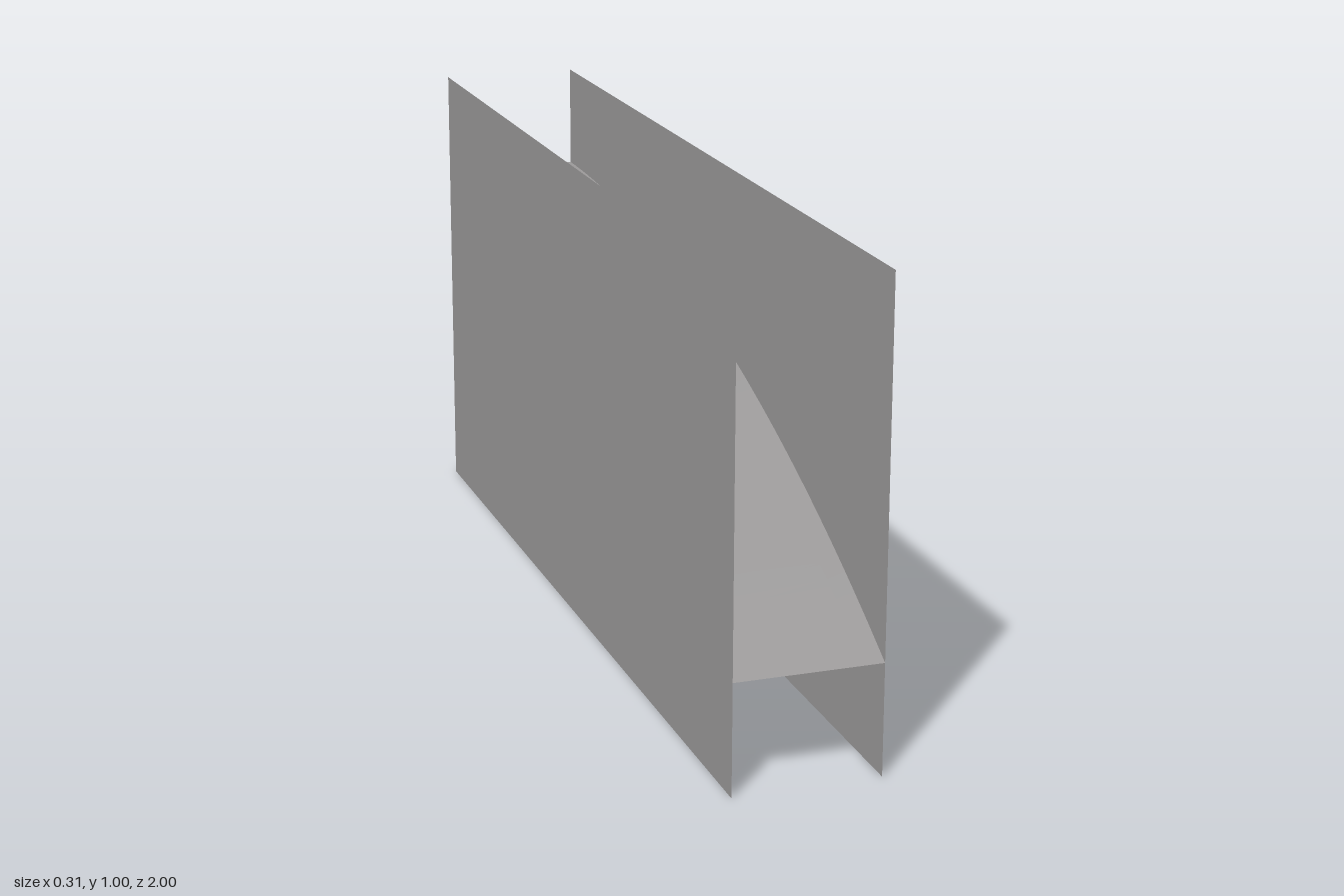
import * as THREE from 'three';

const HALF_WIDTH = 0.153, LANE = 0.11, RADIUS = 4, CREST = 0.77;

// Strip of the ramp between two x positions, bent along a 30 degree arc
function rampStrip(x0, x1, material, name) {
  const geometry = new THREE.PlaneGeometry(x1 - x0, 2, 1, 48);
  geometry.rotateX(-Math.PI / 2);
  geometry.translate((x0 + x1) / 2, 0, 0);
  const p = geometry.attributes.position;
  for (let i = 0; i < p.count; i++) {
    const angle = (p.getZ(i) + 1) / 2 * Math.PI / 6;
    p.setY(i, CREST - RADIUS * (1 - Math.cos(angle)));
    p.setZ(i, RADIUS * Math.sin(angle) - 1);
  }
  geometry.computeVertexNormals();
  const mesh = new THREE.Mesh(geometry, material);
  mesh.name = name;
  return mesh;
}

export function createModel() {
  const group = new THREE.Group();
  group.name = 'curvedRamp';
  const grey = new THREE.MeshStandardMaterial({ color: 0x9c9a9a, side: THREE.DoubleSide });
  grey.name = 'warm grey';

  // Curved surface: middle lane and two edge strips
  group.add(rampStrip(-LANE, LANE, grey, 'rampLane'));
  group.add(rampStrip(-HALF_WIDTH, -LANE, grey, 'rightRampEdge'));
  group.add(rampStrip(LANE, HALF_WIDTH, grey, 'leftRampEdge'));

  // Flat side walls, facing outwards
  for (const side of [-1, 1]) {
    const wall = new THREE.Mesh(new THREE.PlaneGeometry(2, 1), grey);
    wall.rotation.y = side * Math.PI / 2;
    wall.position.set(side * HALF_WIDTH, 0.5, 0);
    wall.name = side > 0 ? 'leftWall' : 'rightWall';
    group.add(wall);
  }
  return group;
}
